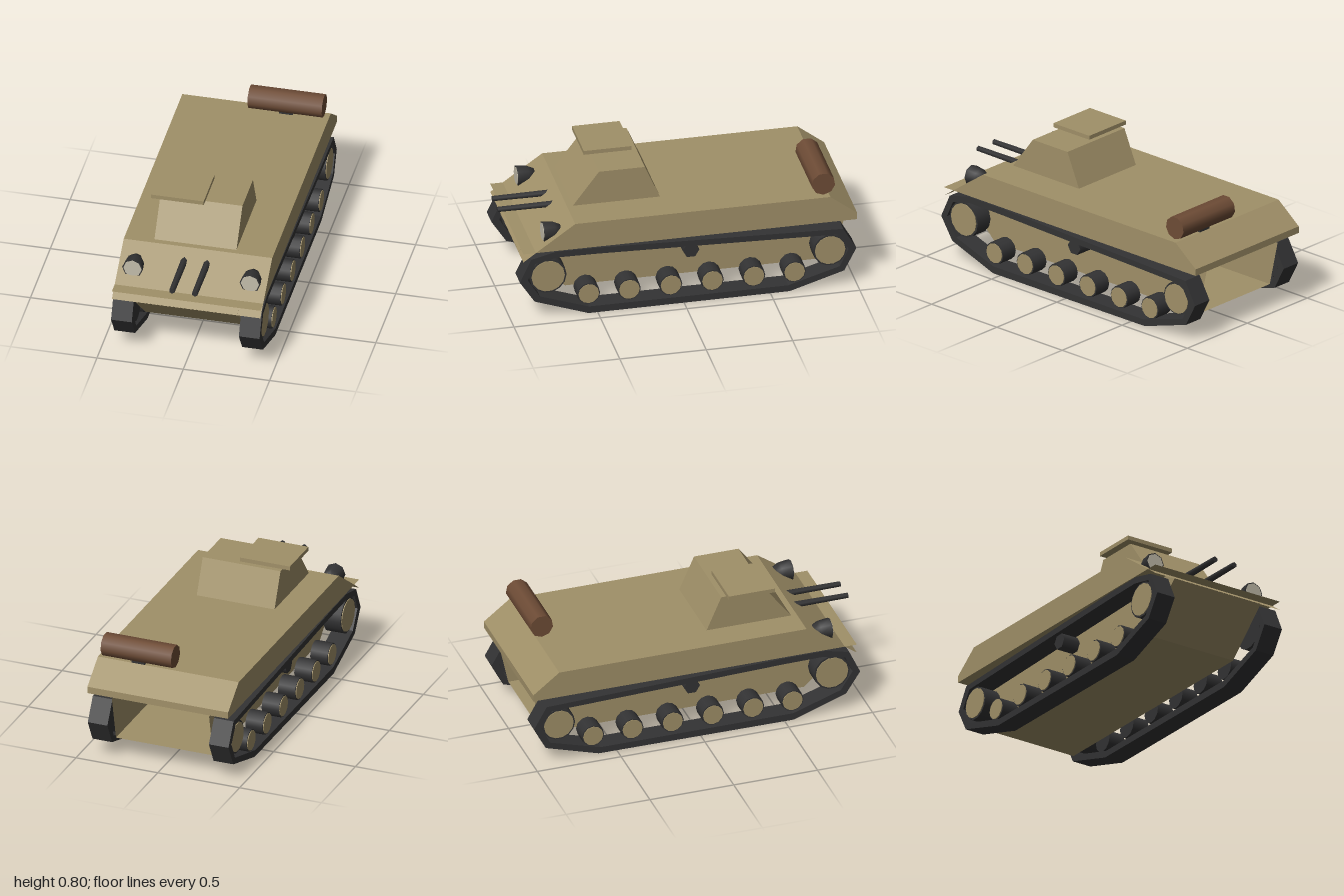
import * as THREE from 'three';

const tan = new THREE.MeshStandardMaterial({ color: 0xa09068, side: THREE.DoubleSide });
tan.name = 'sand paint';
const dark = new THREE.MeshStandardMaterial({ color: 0x333334 });
dark.name = 'dark steel';
const brown = new THREE.MeshStandardMaterial({ color: 0x6e4c36 });
brown.name = 'rusty brown';
const cream = new THREE.MeshStandardMaterial({ color: 0xc4beac });
cream.name = 'lamp glass';

const shapeOf = (pts) => new THREE.Shape(pts.map(([z, y]) => new THREE.Vector2(z, y)));

// Extrude a (z, y) side profile from x0 to x1, optionally with a hole
function slab(pts, x0, x1, hole) {
  const shape = shapeOf(pts);
  if (hole) shape.holes.push(new THREE.Path(hole.map(([z, y]) => new THREE.Vector2(z, y))));
  const geo = new THREE.ExtrudeGeometry(shape, { depth: x1 - x0, bevelEnabled: false });
  return geo.rotateY(-Math.PI / 2).translate(x1, 0, 0);
}

// Open sheet following a (z, y) line across the width x = -w..w
function sheet(pts, w) {
  const pos = [];
  for (let i = 0; i < pts.length - 1; i++) {
    const [[z0, y0], [z1, y1]] = [pts[i], pts[i + 1]];
    pos.push(-w, y0, z0, -w, y1, z1, w, y1, z1, -w, y0, z0, w, y1, z1, w, y0, z0);
  }
  const geo = new THREE.BufferGeometry();
  geo.setAttribute('position', new THREE.Float32BufferAttribute(pos, 3));
  geo.computeVertexNormals();
  return geo;
}

// Cylinder lying along x, centred at (x, y, z)
function axle(r, length, sides, x, y, z, start = 0) {
  return new THREE.CylinderGeometry(r, r, length, sides, 1, false, start)
    .rotateZ(-Math.PI / 2).translate(x, y, z);
}

export function createModel() {
  const model = new THREE.Group();
  model.name = 'armouredVehicle';
  const add = (name, geo, mat, parent = model) => {
    const mesh = new THREE.Mesh(geo, mat);
    mesh.name = name;
    parent.add(mesh);
    return mesh;
  };

  // Upper hull with its thin front shelf and overhanging glacis lip
  add('upperHull', slab([[-1, 0.42], [0.858, 0.42], [0.63, 0.58], [-0.845, 0.58], [-1, 0.46]], -0.43, 0.43), tan);
  add('frontShelf', sheet([[0.85, 0.42], [0.93, 0.42]], 0.43), tan);
  add('glacisLip', sheet([[0.858, 0.42], [0.93, 0.368]], 0.43), tan);

  // Lower hull: floor, sloped nose and side walls, open at the rear
  add('lowerHullFloor', sheet([[0.93, 0.37], [0.66, 0.12], [-0.9, 0.12]], 0.297), tan);
  const wall = [[0.93, 0.37], [0.86, 0.417], [0.5, 0.417], [-0.96, 0.39], [-0.9, 0.12], [0.66, 0.12]];
  for (const x of [-0.297, 0.297]) {
    add('lowerHullSide', new THREE.ShapeGeometry(shapeOf(wall)).rotateY(-Math.PI / 2).translate(x, 0, 0), tan);
  }

  // Superstructure and hatch
  add('turret', slab([[0.6, 0.575], [0.445, 0.78], [0.18, 0.78], [0.09, 0.575]], -0.26, 0.215), tan);
  add('hatch', new THREE.BoxGeometry(0.305, 0.024, 0.275).translate(-0.1525, 0.792, 0.3475), tan);

  // Exhaust drum on its bracket
  add('exhaust', axle(0.068, 0.43, 9, 0.185, 0.651, -0.812, Math.PI / 2), brown);
  add('exhaustBracket', new THREE.BoxGeometry(0.08, 0.04, 0.065).translate(0.185, 0.59, -0.812), dark);

  const trackOuter = [[0.95, 0.24], [0.885, 0.38], [0.74, 0.415], [0.5, 0.413], [-0.92, 0.367],
    [-0.995, 0.235], [-0.925, 0.1], [-0.61, 0.004], [0.553, 0], [0.865, 0.11]];
  const trackInner = [[0.905, 0.25], [0.86, 0.35], [0.73, 0.378], [0.5, 0.375], [-0.89, 0.335],
    [-0.95, 0.235], [-0.9, 0.13], [-0.6, 0.042], [0.55, 0.042], [0.835, 0.14]];
  // z, y, radius, sides
  const wheels = [0.55, 0.315, 0.075, -0.165, -0.405, -0.64].map((z) => [z, 0.12, 0.066, 12]);
  wheels.push([0.785, 0.26, 0.107, 14], [-0.845, 0.235, 0.098, 14]);

  for (const s of [-1, 1]) {
    const side = new THREE.Group();
    side.name = s > 0 ? 'leftRunningGear' : 'rightRunningGear';
    model.add(side);
    add('track', slab(trackOuter, s > 0 ? 0.31 : -0.43, s > 0 ? 0.43 : -0.31, trackInner), dark, side);
    for (const [z, y, r, n] of wheels) {
      add('wheel', axle(r, 0.105, n, s * 0.3675, y, z), dark, side);
      add('wheelDisc', axle(r * 0.9, 0.006, n, s * 0.4215, y, z), tan, side);
    }
    add('returnRoller', axle(0.048, 0.11, 6, s * 0.35, 0.32, -0.045), dark, side);

    // Headlamp: rounded shell, rim and glass
    const lamp = new THREE.Group();
    lamp.name = 'headlamp';
    lamp.position.set(s * 0.34, 0.505, 0.69);
    model.add(lamp);
    const shell = [[0, 0], [0.034, 0.008], [0.052, 0.045], [0.06, 0.108]].map(([r, h]) => new THREE.Vector2(r, h));
    add('lampShell', new THREE.LatheGeometry(shell, 8).rotateX(Math.PI / 2), dark, lamp);
    add('lampRim', new THREE.CylinderGeometry(0.06, 0.06, 0.004, 8).rotateX(Math.PI / 2).translate(0, 0, 0.108), dark, lamp);
    add('lampGlass', new THREE.CylinderGeometry(0.053, 0.053, 0.004, 8).rotateX(Math.PI / 2).translate(0, 0, 0.111), cream, lamp);

    // Forward gun barrel
    add('gunBarrel', new THREE.CylinderGeometry(0.017, 0.02, 0.33, 6).rotateX(Math.PI / 2)
      .translate(s * 0.066, 0.525, 0.835), dark);
  }
  return model;
}
